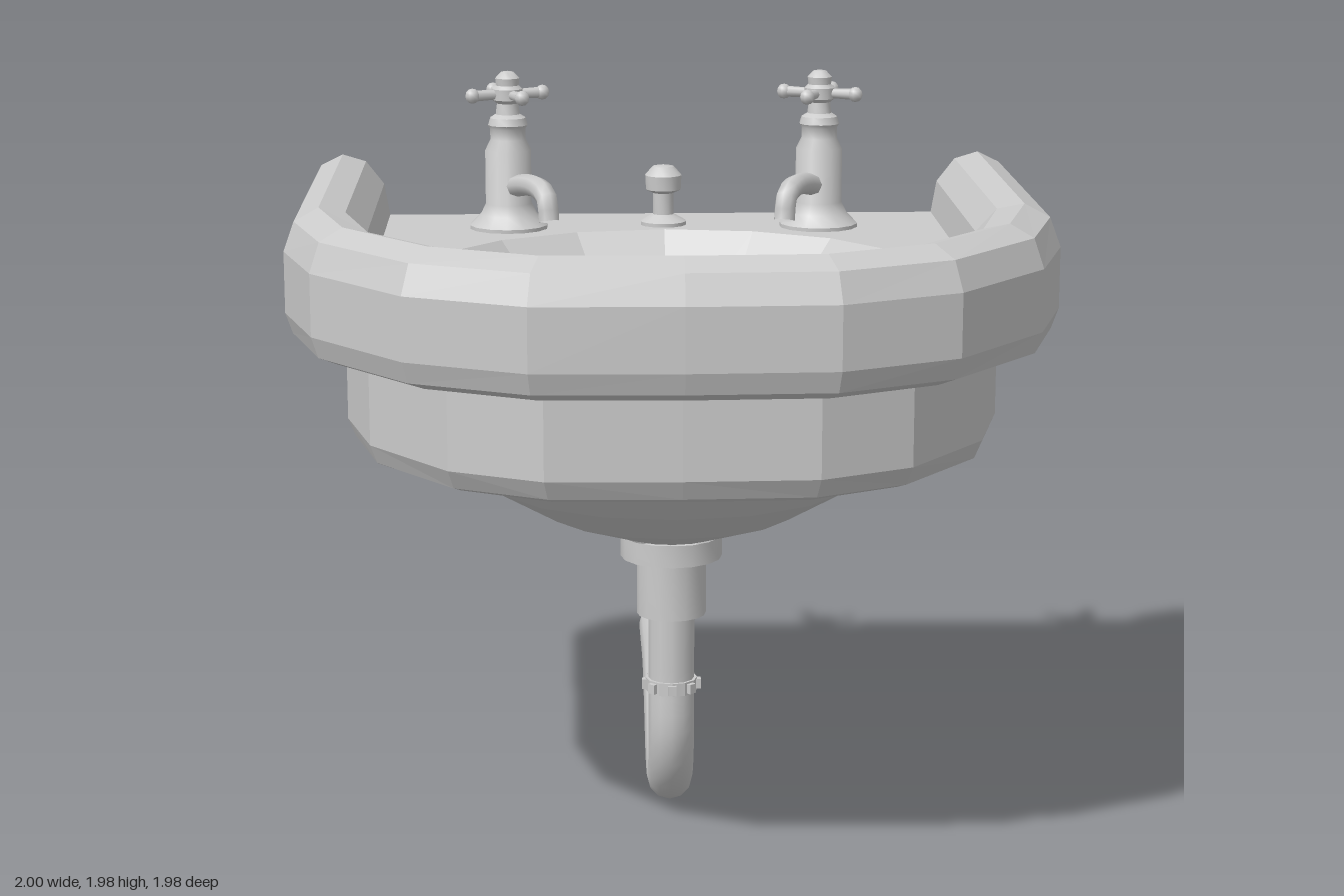
import * as THREE from 'three';
import { toCreasedNormals } from 'three/addons/utils/BufferGeometryUtils.js';

const flat = new THREE.MeshStandardMaterial({ color: 0xcccccc, flatShading: true, side: THREE.DoubleSide });
const smooth = new THREE.MeshStandardMaterial({ color: 0xcccccc, side: THREE.DoubleSide });

const BACK = -0.81, BOWL_Z = 0.035, DECK_Y = 1.55, PLATE_Y = 1.1;

// Half outlines in plan (x, z), from the back edge to the front centre
const RIM = [[1, BACK], [1, 0.2], [0.91, 0.52], [0.67, 0.83], [0.37, 0.975], [0, 0.987]];
const INNER = [[0.78, BACK], [0.78, 0.06], [0.71, 0.37], [0.52, 0.61], [0.3, 0.735], [0, 0.75]];
const APRON = [[0.85, BACK], [0.85, 0.13], [0.775, 0.44], [0.57, 0.72], [0.335, 0.84], [0, 0.85]];

// Mirrored outline, blended from a (t = 0) to b (t = 1)
function outline(a, b = a, t = 0) {
  const half = a.map(([x, z], i) => [x + (b[i][0] - x) * t, z + (b[i][1] - z) * t]);
  return [...half, ...half.slice(0, -1).reverse().map(([x, z]) => [-x, z])];
}

// Surface through outlines stacked by a profile of [blend, height]
function loft(a, b, profile) {
  const pos = [], index = [];
  const n = a.length * 2 - 1;
  profile.forEach(([t, y], r) => {
    outline(a, b, t).forEach(([x, z], i) => {
      pos.push(x, y, z);
      if (r && i) {
        const q = r * n + i, p = q - n;
        index.push(p - 1, q - 1, p, p, q - 1, q);
      }
    });
  });
  const g = new THREE.BufferGeometry();
  g.setAttribute('position', new THREE.Float32BufferAttribute(pos, 3));
  g.setIndex(index);
  g.computeVertexNormals();
  return g;
}

// Horizontal sheet with an oval opening
function sheet(points, y, rx, rz) {
  const shape = new THREE.Shape(points.map(([x, z]) => new THREE.Vector2(x, -z)));
  const hole = [];
  for (let i = 0; i < 16; i++) {
    const a = (i / 16) * Math.PI * 2;
    hole.push(new THREE.Vector2(rx * Math.sin(a), -BOWL_Z - rz * Math.cos(a)));
  }
  shape.holes.push(new THREE.Path(hole));
  return new THREE.ShapeGeometry(shape).rotateX(-Math.PI / 2).translate(0, y, 0);
}

function lathe(profile, sides) {
  return new THREE.LatheGeometry(profile.map(([r, y]) => new THREE.Vector2(r, y)), sides);
}

function add(parent, name, geometry, material = flat) {
  const m = new THREE.Mesh(geometry, material);
  m.name = name;
  parent.add(m);
  return m;
}

const creased = (g) => toCreasedNormals(g, 0.7);

// Tap with the spout along its own +z
function makeTap(name) {
  const tap = new THREE.Group();
  tap.name = name;
  add(tap, 'tapBody', creased(lathe([
    [0.11, 1.5], [0.11, 1.56], [0.08, 1.59], [0.065, 1.62], [0.065, 1.77], [0.05, 1.8],
    [0.05, 1.83], [0.056, 1.84], [0.05, 1.86], [0.034, 1.87], [0.03, 1.9],
    [0.042, 1.91], [0.042, 1.94], [0.032, 1.95], [0.034, 1.97], [0.018, 1.987], [0, 1.99],
  ], 14)), smooth);
  const path = new THREE.CatmullRomCurve3([[1.67, 0.03], [1.69, 0.14], [1.69, 0.22], [1.67, 0.27], [1.61, 0.285]]
    .map(([y, z]) => new THREE.Vector3(0, y, z)));
  add(tap, 'spout', new THREE.TubeGeometry(path, 10, 0.03, 8), smooth);
  const cap = add(tap, 'spoutEnd', new THREE.CircleGeometry(0.03, 8).rotateX(Math.PI / 2), smooth);
  cap.position.set(0, 1.61, 0.285);
  // Cross handle
  for (let i = 0; i < 4; i++) {
    const arm = new THREE.Group();
    arm.name = 'handleArm';
    arm.rotation.y = (i * Math.PI) / 2;
    arm.position.y = 1.925;
    add(arm, 'armRod', new THREE.CylinderGeometry(0.016, 0.013, 0.08, 8).rotateX(Math.PI / 2).translate(0, 0, 0.07), smooth);
    add(arm, 'armKnob', new THREE.SphereGeometry(0.021, 8, 6).translate(0, 0, 0.105), smooth);
    tap.add(arm);
  }
  return tap;
}

export function createModel() {
  const model = new THREE.Group();
  model.name = 'washbasin';

  // Rolled rim, open at the back
  add(model, 'rim', loft(RIM, INNER, [
    [0.68, 1.38], [0.32, 1.38], [0.08, 1.405], [0, 1.46], [0, 1.62],
    [0.12, 1.695], [0.4, 1.725], [0.7, 1.705], [0.93, 1.64], [1, DECK_Y],
  ]));
  add(model, 'deck', sheet(outline(INNER), DECK_Y, 0.64, 0.565));

  // Lower skirt and its underside
  add(model, 'skirt', loft(APRON, INNER, [[0, 1.38], [0, 1.165], [0.25, 1.115], [0.6, PLATE_Y]]));
  add(model, 'underside', sheet(outline(APRON, INNER, 0.6), PLATE_Y, 0.65, 0.6));

  // Inner bowl and the shell below it
  const bowl = add(model, 'bowl', lathe([[0, 1.17], [0.12, 1.18], [0.36, 1.27], [0.64, DECK_Y]], 16));
  bowl.scale.z = 0.565 / 0.64;
  const shell = add(model, 'bowlShell', lathe([[0.13, 0.82], [0.33, 0.885], [0.49, 0.975], [0.65, PLATE_Y]], 16));
  shell.scale.z = 0.6 / 0.65;
  bowl.position.z = shell.position.z = BOWL_Z;

  // Taps and the plug knob between them
  for (const side of [-1, 1]) {
    const tap = makeTap(side > 0 ? 'leftTap' : 'rightTap');
    tap.position.set(side * 0.435, 0, -0.575);
    tap.rotation.y = -side * 0.41;
    model.add(tap);
  }
  const knob = add(model, 'plugKnob', creased(lathe([
    [0.065, 1.5], [0.065, 1.56], [0.03, 1.58], [0.03, 1.64], [0.05, 1.65], [0.052, 1.69], [0.03, 1.715], [0, 1.72],
  ], 14)), smooth);
  knob.position.z = -0.62;

  // Drain collars
  const drain = add(model, 'drainCollar', creased(lathe([
    [0.06, 0.6], [0.093, 0.6], [0.093, 0.76], [0.136, 0.76], [0.136, 0.82],
  ], 16)), smooth);
  drain.position.z = BOWL_Z;

  // Waste pipe with its bend, open at the wall end
  const bend = new THREE.CatmullRomCurve3([
    [0.62, 0.035], [0.42, 0.035], [0.26, 0.033], [0.16, -0.01], [0.09, -0.09], [0.068, -0.2], [0.09, -0.31],
    [0.165, -0.42], [0.235, -0.53], [0.263, -0.63], [0.263, -0.8], [0.263, -0.99],
  ].map(([y, z]) => new THREE.Vector3(0, y, z)));
  add(model, 'wastePipe', new THREE.TubeGeometry(bend, 36, 0.062, 12), smooth);

  // Pipe coupling with small lugs
  const coupling = new THREE.Group();
  coupling.name = 'pipeCoupling';
  coupling.position.set(0, 0.4, BOWL_Z);
  add(coupling, 'couplingRing', new THREE.CylinderGeometry(0.07, 0.07, 0.036, 12));
  for (let i = 0; i < 8; i++) {
    const lug = add(coupling, 'couplingLug', new THREE.BoxGeometry(0.022, 0.026, 0.02).translate(0, 0, 0.07));
    lug.rotation.y = (i * Math.PI) / 4;
  }
  model.add(coupling);

  return model;
}
